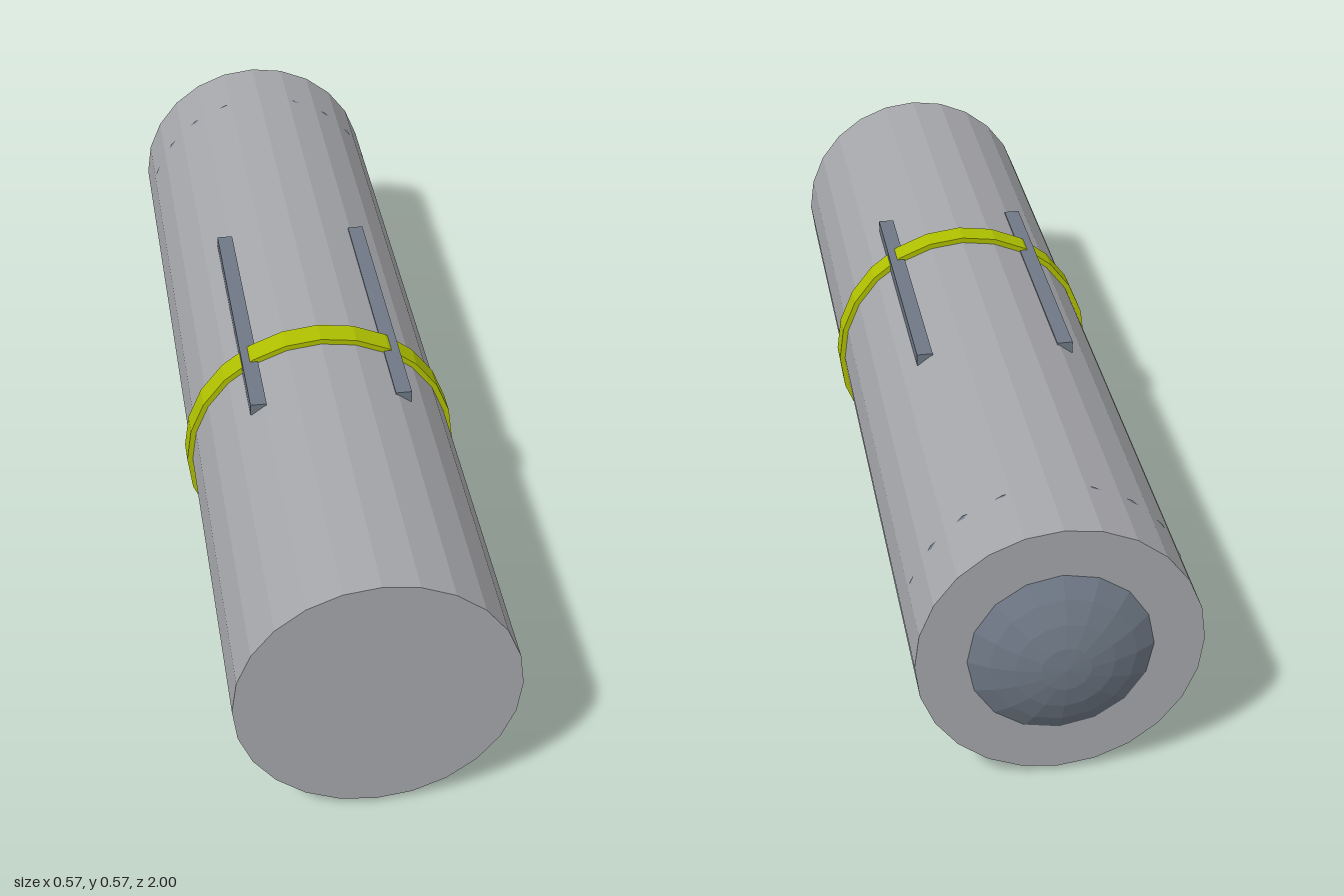
import * as THREE from 'three';

const CENTER_Y = 0.2865;

export function createModel() {
  const model = new THREE.Group();
  model.name = 'tube';

  const material = (name, color) => {
    const m = new THREE.MeshStandardMaterial({ color, flatShading: true });
    m.name = name;
    return m;
  };
  const bodyGrey = material('bodyGrey', 0xa5a6aa);
  const bandYellow = material('bandYellow', 0xafc000);
  const slateGrey = material('slateGrey', 0x6e7885);

  const add = (name, geometry, mat, x, y, z) => {
    const mesh = new THREE.Mesh(geometry, mat);
    mesh.name = name;
    mesh.position.set(x, y, z);
    model.add(mesh);
    return mesh;
  };
  // 24-sided drum lying along z
  const drum = (radius, length) =>
    new THREE.CylinderGeometry(radius, radius, length, 24).rotateX(Math.PI / 2);

  // Main body and the raised band around it
  add('body', drum(0.275, 1.945), bodyGrey, 0, CENTER_Y, 0.0275);
  add('band', drum(0.2865, 0.053), bandYellow, 0, CENTER_Y, 0.225);

  // Shallow faceted dome on the back end
  const domeRadius = 0.315;
  const dome = new THREE.SphereGeometry(domeRadius, 16, 4, 0, Math.PI * 2, 0, 0.61);
  dome.rotateX(-Math.PI / 2);
  add('rearDome', dome, slateGrey, 0, CENTER_Y, -1 + domeRadius);

  // Ring sunk in the body, its corners just breaking the surface
  add('rearRing', new THREE.TorusGeometry(0.262, 0.013, 8, 20), slateGrey, 0, CENTER_Y, -0.795);

  // Pair of rails along the upper sides
  for (const [name, side] of [['leftRail', 1], ['rightRail', -1]]) {
    add(name, new THREE.BoxGeometry(0.033, 0.025, 0.627), slateGrey, side * 0.1485, 0.518, 0.084);
  }

  return model;
}
